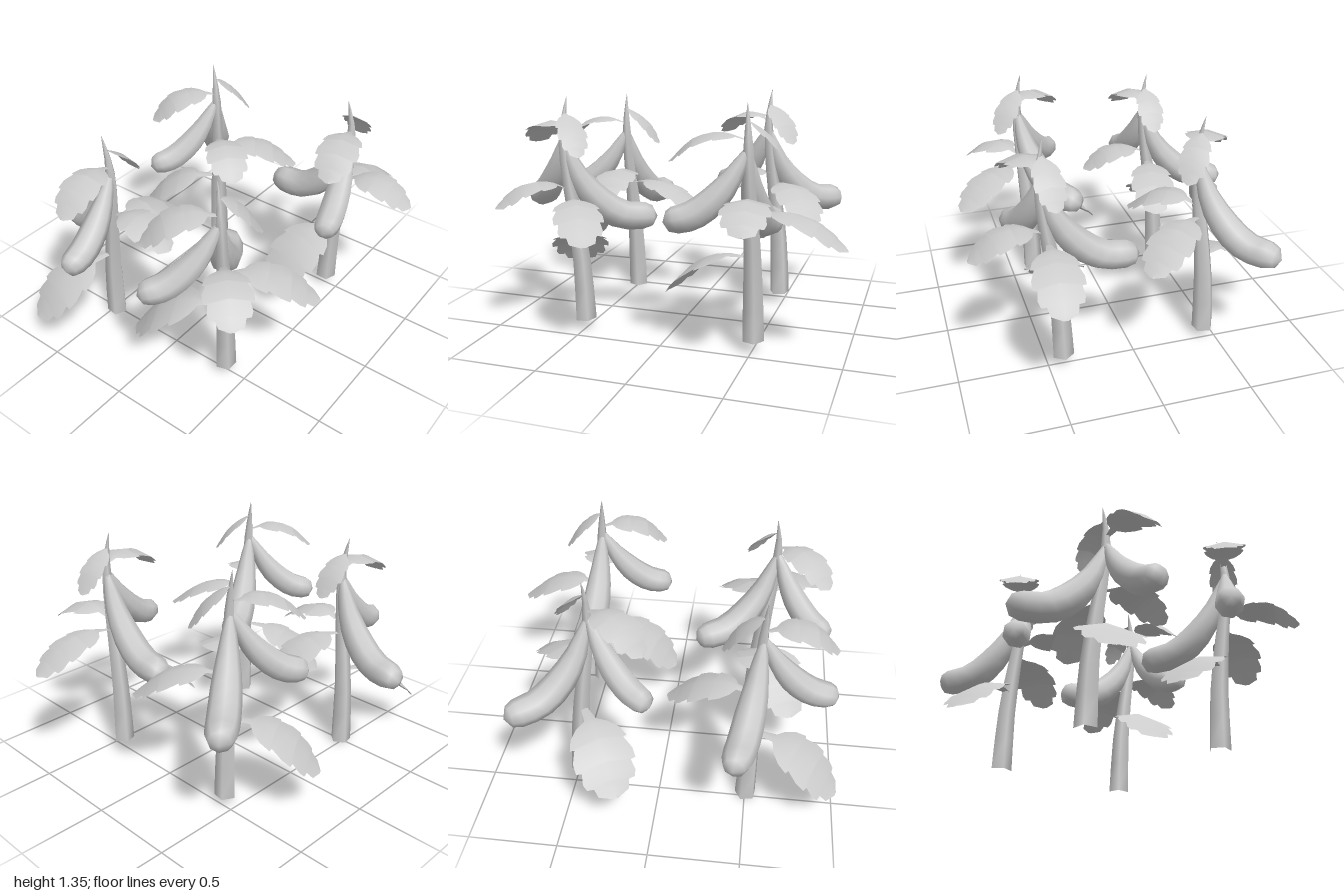
import * as THREE from 'three';
import { mergeVertices } from 'three/addons/utils/BufferGeometryUtils.js';

const material = new THREE.MeshStandardMaterial({ color: 0xcccccc });
const thinMaterial = new THREE.MeshStandardMaterial({ color: 0xcccccc, side: THREE.DoubleSide });

// Stem centre line, in plant space: [x, y, z]
const STEM = [[0, 0, 0], [-0.005, 0.35, 0.015], [-0.01, 0.65, 0.05], [-0.015, 0.85, 0.08],
  [-0.02, 1.03, 0.095], [-0.025, 1.15, 0.09], [-0.035, 1.285, 0.065]];
const STEM_RADII = [0.062, 0.058, 0.053, 0.048, 0.042, 0.036, 0.032, 0.028, 0.018, 0.008, 0.001];

function stemAt(y) {
  let i = 0;
  while (i < STEM.length - 2 && STEM[i + 1][1] < y) i++;
  const a = new THREE.Vector3(...STEM[i]), b = new THREE.Vector3(...STEM[i + 1]);
  return a.lerp(b, (y - STEM[i][1]) / (STEM[i + 1][1] - STEM[i][1]));
}

// A point at a height and a distance from the stem, in a compass direction
function reach(origin, degrees, d, y) {
  const a = THREE.MathUtils.degToRad(degrees);
  return new THREE.Vector3(origin.x + d * Math.cos(a), y, origin.z + d * Math.sin(a));
}

// Tube with one radius per ring; rings crowd towards the far end
function taperedTube(points, radii, sides) {
  const curve = new THREE.CatmullRomCurve3(points);
  const n = radii.length - 1;
  let geo = new THREE.TubeGeometry(curve, n, 1, sides);
  const pos = geo.attributes.position, v = new THREE.Vector3();
  for (let i = 0; i <= n; i++) {
    const from = curve.getPointAt(i / n);
    const to = curve.getPointAt(1 - (1 - i / n) ** 1.4);
    for (let j = 0; j <= sides; j++) {
      const k = i * (sides + 1) + j;
      v.fromBufferAttribute(pos, k).sub(from).multiplyScalar(radii[i]).add(to);
      pos.setXYZ(k, v.x, v.y, v.z);
    }
  }
  geo.deleteAttribute('uv');
  geo.deleteAttribute('normal');
  geo = mergeVertices(geo);
  geo.computeVertexNormals();
  return geo;
}

// Blade outline: [position along the blade, half width], stepped into lobes
const BLADE = [[0, 0.2], [0.06, 0.55], [0.16, 0.84], [0.28, 0.98], [0.3, 0.84], [0.44, 1.02],
  [0.56, 1.02], [0.58, 0.84], [0.7, 0.9], [0.78, 0.82], [0.8, 0.6], [0.91, 0.52], [0.95, 0.32], [1, 0.08]];

// Arching leaf; profile lists [distance, height] along its midrib
function leafGeometry(degrees, profile, halfWidth, stalk) {
  const origin = stemAt(profile[0][1]);
  const curve = new THREE.CatmullRomCurve3(profile.map(([d, y]) => reach(origin, degrees, d, y)));
  const a = THREE.MathUtils.degToRad(degrees);
  const side = new THREE.Vector3(-Math.sin(a), 0, Math.cos(a));
  const rows = [[0, 0.08], ...BLADE.map(([t, w]) => [stalk + (1 - stalk) * t, w])];
  const pos = [], index = [];
  rows.forEach(([t, w], i) => {
    const c = curve.getPointAt(t);
    for (const s of [-1, 0, 1]) {
      const p = c.clone().addScaledVector(side, s * w * halfWidth);
      pos.push(p.x, p.y - Math.abs(s) * w * halfWidth * 0.24, p.z);
    }
    if (i > 0) {
      for (let j = 0; j < 2; j++) {
        const q = (i - 1) * 3 + j;
        index.push(q, q + 1, q + 3, q + 1, q + 4, q + 3);
      }
    }
  });
  const geo = new THREE.BufferGeometry();
  geo.setAttribute('position', new THREE.Float32BufferAttribute(pos, 3));
  geo.setIndex(index);
  geo.computeVertexNormals();
  return geo;
}

// [name, direction, midrib profile, half width, stalk share of the length]
const LEAVES = [
  ['lowLeaf', 192, [[0, 0.475], [0.2, 0.465], [0.36, 0.38], [0.51, 0.21]], 0.168, 0.22],
  ['sideLeaf', 4, [[0, 0.71], [0.16, 0.74], [0.33, 0.7], [0.51, 0.57]], 0.13, 0.2],
  ['frontLeaf', 82, [[0, 0.77], [0.13, 0.825], [0.27, 0.81], [0.42, 0.7]], 0.125, 0.18],
  ['upperLeaf', 167, [[0, 1.1], [0.13, 1.14], [0.27, 1.11], [0.4, 0.99]], 0.115, 0.15],
  ['topLeaf', -8, [[0, 1.2], [0.07, 1.16], [0.14, 1.1], [0.22, 0.98]], 0.08, 0.06],
];

// [name, direction, centre line, scale of thickness]
const PODS = [
  ['longPod', -86, [[0, 1.05], [0.07, 0.86], [0.17, 0.715], [0.31, 0.61], [0.53, 0.585]], 1],
  ['shortPod', 166, [[0, 1.06], [0.08, 0.91], [0.18, 0.785], [0.29, 0.705], [0.435, 0.67]], 0.9],
];
const POD_RADII = [0.015, 0.04, 0.058, 0.073, 0.083, 0.087, 0.088, 0.087, 0.08, 0.06, 0];

function createPlant() {
  const plant = new THREE.Group();
  const add = (name, geo, mat) => {
    const mesh = new THREE.Mesh(geo, mat);
    mesh.name = name;
    plant.add(mesh);
  };

  // Tapering stem, open at the foot
  add('stem', taperedTube(STEM.map((p) => new THREE.Vector3(...p)), STEM_RADII, 5), material);

  for (const [name, dir, profile, width, stalk] of LEAVES) {
    add(name, leafGeometry(dir, profile, width, stalk), thinMaterial);
  }

  for (const [name, dir, path, scale] of PODS) {
    const origin = stemAt(path[0][1]);
    const points = path.map(([d, y]) => reach(origin, dir, d, y));
    add(name, taperedTube(points, POD_RADII.map((r) => r * scale), 8), material);
  }
  return plant;
}

export function createModel() {
  const model = new THREE.Group();
  model.name = 'podPlants';
  // Four copies: [name, x, y, z, turn in degrees]
  const spots = [
    ['frontLeftPlant', 0.505, 0.065, 0.415, 0],
    ['backRightPlant', -0.505, 0, -0.48, 8],
    ['backLeftPlant', 0.475, 0.055, -0.435, 47],
    ['frontRightPlant', -0.505, 0.055, 0.37, 54],
  ];
  for (const [name, x, y, z, turn] of spots) {
    const plant = createPlant();
    plant.name = name;
    plant.position.set(x, y, z);
    plant.rotation.y = -THREE.MathUtils.degToRad(turn);
    model.add(plant);
  }
  return model;
}
